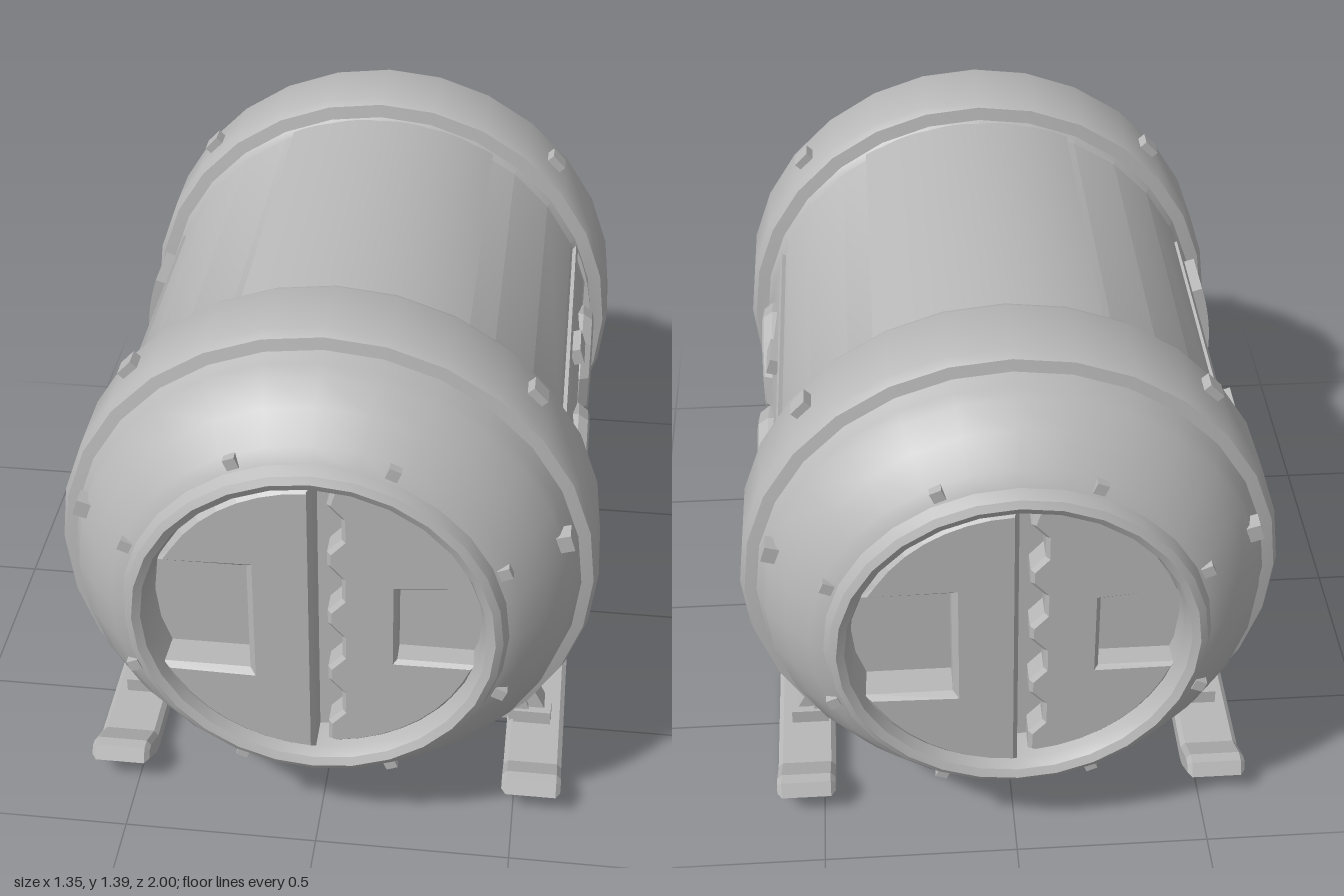
import * as THREE from 'three';
import { toCreasedNormals } from 'three/addons/utils/BufferGeometryUtils.js';

const AXIS_Y = 0.71;
const hullGrey = new THREE.MeshStandardMaterial({ color: 0xb8b8b8 });
hullGrey.name = 'hullGrey';

function add(parent, name, geometry, x = 0, y = 0, z = 0) {
  const mesh = new THREE.Mesh(geometry, hullGrey);
  mesh.name = name;
  mesh.position.set(x, y, z);
  parent.add(mesh);
  return mesh;
}

function group(parent, name) {
  const g = new THREE.Group();
  g.name = name;
  parent.add(g);
  return g;
}

const polygon = (points) => new THREE.Shape(points.map(([x, y]) => new THREE.Vector2(x, y)));
const extrude = (shape, depth, bevel = 0) => new THREE.ExtrudeGeometry(shape, {
  depth, curveSegments: 16, bevelEnabled: bevel > 0, bevelSize: bevel, bevelThickness: bevel, bevelSegments: 1, bevelOffset: -bevel,
});

// Curved plate hugging the hull, between two angles and two z positions
function arcPlate(rIn, rOut, a0, a1, z0, z1) {
  const s = new THREE.Shape();
  s.absarc(0, 0, rOut, a0, a1, false);
  s.absarc(0, 0, rIn, a1, a0, true);
  return toCreasedNormals(extrude(s, z1 - z0).translate(0, 0, z0), 0.5);
}

// Box strut between two points
function strut(parent, name, from, to, width, depth) {
  const a = new THREE.Vector3(...from), b = new THREE.Vector3(...to);
  const mesh = add(parent, name, new THREE.BoxGeometry(width, a.distanceTo(b), depth));
  mesh.position.copy(a).lerp(b, 0.5);
  mesh.quaternion.setFromUnitVectors(new THREE.Vector3(0, 1, 0), b.sub(a).normalize());
}

// Small block set radially on the hull
function lug(parent, name, size, radius, angle, z) {
  const mesh = add(parent, name, new THREE.BoxGeometry(size, size, size), radius * Math.cos(angle), radius * Math.sin(angle), z);
  mesh.rotation.z = angle;
}

// Revolved pressure hull with raised bands, chamfered ends and round doorways
function hullGeometry() {
  const half = [
    [0.617, 0.47], [0.63, 0.488], [0.665, 0.495], [0.677, 0.52], [0.677, 0.70], [0.665, 0.728], [0.635, 0.735],
    [0.622, 0.77], [0.612, 0.81], [0.565, 0.87], [0.505, 0.94], [0.47, 0.96], [0.458, 0.99],
    [0.44, 1.0], [0.42, 0.99], [0.408, 0.96], [0.405, 0.88], [0, 0.88],
  ];
  const all = [...half.map(([r, z]) => [r, -z]).reverse(), ...half];
  const g = new THREE.LatheGeometry(all.map(([r, z]) => new THREE.Vector2(r, z)), 28);
  g.rotateX(Math.PI / 2);
  // flatten the port side wall between the bands
  const p = g.attributes.position;
  for (let i = 0; i < p.count; i++) {
    if (Math.abs(p.getZ(i)) < 0.48 && p.getX(i) > 0.6) p.setX(i, 0.6);
  }
  return toCreasedNormals(g, 0.65);
}

// Two sliding door leaves with a wavy seam, almost filling the end opening
function buildDoor(parent, name) {
  const door = group(parent, name);
  const R = 0.41;
  const arc = (a0, a1) => Array.from({ length: 9 }, (_, i) => {
    const a = a0 + (a1 - a0) * i / 8;
    return [R * Math.cos(a), R * Math.sin(a)];
  });
  const up = Math.asin(0.16 / R);
  // straight-edged leaf with a deep square notch
  const leftLeaf = polygon([
    [0, -R], [0, R], ...arc(Math.PI / 2 + 0.03, Math.PI - up),
    [-0.16, 0.16], [-0.16, -0.16], ...arc(Math.PI + up, 1.5 * Math.PI - 0.03),
  ]);
  add(door, 'leftDoorLeaf', extrude(leftLeaf, 0.08, 0.015), 0, 0, 0.88);
  // leaf with interlocking teeth along the seam
  const teeth = [];
  for (let i = 0; i < 4; i++) {
    const y = 0.34 - i * 0.18;
    teeth.push([0.03, y], [0.065, y - 0.04], [0.065, y - 0.1], [0.03, y - 0.14]);
  }
  const low = Math.asin(0.12 / R);
  const rightLeaf = polygon([
    ...teeth, [0.03, -R + 0.01], ...arc(-Math.PI / 2 + 0.12, -low),
    [0.2, -0.12], [0.2, 0.1], ...arc(low, Math.PI / 2 - 0.12),
  ]);
  add(door, 'rightDoorLeaf', extrude(rightLeaf, 0.055, 0.01), 0, 0, 0.88);
  // rim studs around the chamfered end
  for (let i = 0; i < 8; i++) lug(door, 'endStud', 0.03, 0.49, (i + 0.5) * Math.PI / 4, 0.945);
  return door;
}

// Faceted porthole facing +x
function buildPorthole(parent, z) {
  const port = group(parent, 'porthole');
  port.position.set(0.59, 0, z);
  port.rotation.y = Math.PI / 2;
  const profile = [[0.168, -0.06], [0.168, 0.015], [0.15, 0.04], [0.135, 0.045], [0.125, 0.035], [0.12, 0]];
  const ring = new THREE.LatheGeometry(profile.map(([r, h]) => new THREE.Vector2(r, h)), 10);
  ring.rotateX(Math.PI / 2);
  add(port, 'portholeRing', toCreasedNormals(ring, 0.4));
  add(port, 'portholePane', new THREE.CircleGeometry(0.13, 10), 0, 0, 0.018);
}

// Landing leg with an upturned skid, on the +x side
function buildLeg(parent, z) {
  const leg = group(parent, 'landingLeg');
  leg.position.z = z;
  const skid = extrude(polygon([
    [-0.335, 0.075], [-0.24, 0.01], [-0.2, 0], [0.2, 0], [0.24, 0.01], [0.335, 0.075],
    [0.315, 0.11], [0.285, 0.11], [0.2, 0.065], [-0.2, 0.065], [-0.285, 0.11], [-0.315, 0.11],
  ]), 0.13, 0.012);
  skid.rotateY(-Math.PI / 2).translate(0.61, 0, 0);
  add(leg, 'skid', skid);
  const brace = polygon([[0.24, 0.01], [0.48, 0.01], [0.48, 0.12], [0.42, 0.21], [0.34, 0.18], [0.24, 0.07]]);
  add(leg, 'innerBrace', extrude(brace, 0.04, 0.01).translate(0, 0, -0.02 - Math.sign(z) * 0.04));
  strut(leg, 'mainStrut', [0.46, 0.24], [0.51, 0.04], 0.06, 0.08);
  strut(leg, 'outerStrut', [0.49, 0.22], [0.575, 0.05], 0.035, 0.06);
  add(leg, 'ankle', new THREE.BoxGeometry(0.1, 0.05, 0.1), 0.535, 0.08, 0);
  strut(leg, 'hullBracket', [0.5, 0.27], [0.46, 0.17], 0.06, 0.09);
}

export function createModel() {
  const model = new THREE.Group();
  model.name = 'habitatCapsule';

  const body = group(model, 'body');
  body.position.y = AXIS_Y;
  add(body, 'hull', hullGeometry());
  buildDoor(body, 'frontDoor');
  buildDoor(body, 'backDoor').rotation.y = Math.PI;

  // raised roof plate
  add(body, 'roofPlate', arcPlate(0.59, 0.623, 1.03, 1.98, -0.5, 0.5));

  // porthole wall with frame rails and clips
  for (const z of [0.25, -0.25]) buildPorthole(body, z);
  for (const s of [1, -1]) {
    add(body, 'wallRail', arcPlate(0.6, 0.626, s * 0.405 - 0.012, s * 0.405 + 0.012, -0.5, 0.42));
    const clip = add(body, 'wallClip', new THREE.BoxGeometry(0.045, 0.045, 0.1), 0.585, s * 0.2, -0.02);
    clip.rotation.z = s * 0.3;
  }
  add(body, 'wallEndStrip', arcPlate(0.6, 0.626, -0.4, 0.4, -0.5, -0.475));

  // plain wall with two upright plates
  add(body, 'wallPanel', arcPlate(0.6, 0.623, Math.PI - 0.41, Math.PI + 0.41, -0.42, 0.42));
  for (const z of [0.32, -0.32]) {
    add(body, 'uprightPlate', arcPlate(0.6, 0.652, Math.PI - 0.31, Math.PI + 0.31, z - 0.08, z + 0.08));
  }

  // small lugs on the bands and shoulders
  for (const z of [1, -1]) {
    for (const a of [0.75, Math.PI - 0.75]) lug(body, 'bandLug', 0.05, 0.67, a, z * 0.6);
    for (const a of [0.3, Math.PI - 0.3]) lug(body, 'shoulderLug', 0.045, 0.612, a, z * 0.8);
  }

  // four landing legs, the far pair turned half round
  for (const turn of [0, Math.PI]) {
    const side = group(model, turn ? 'rightLegs' : 'leftLegs');
    side.rotation.y = turn;
    for (const z of [0.515, -0.515]) buildLeg(side, z);
  }
  return model;
}
